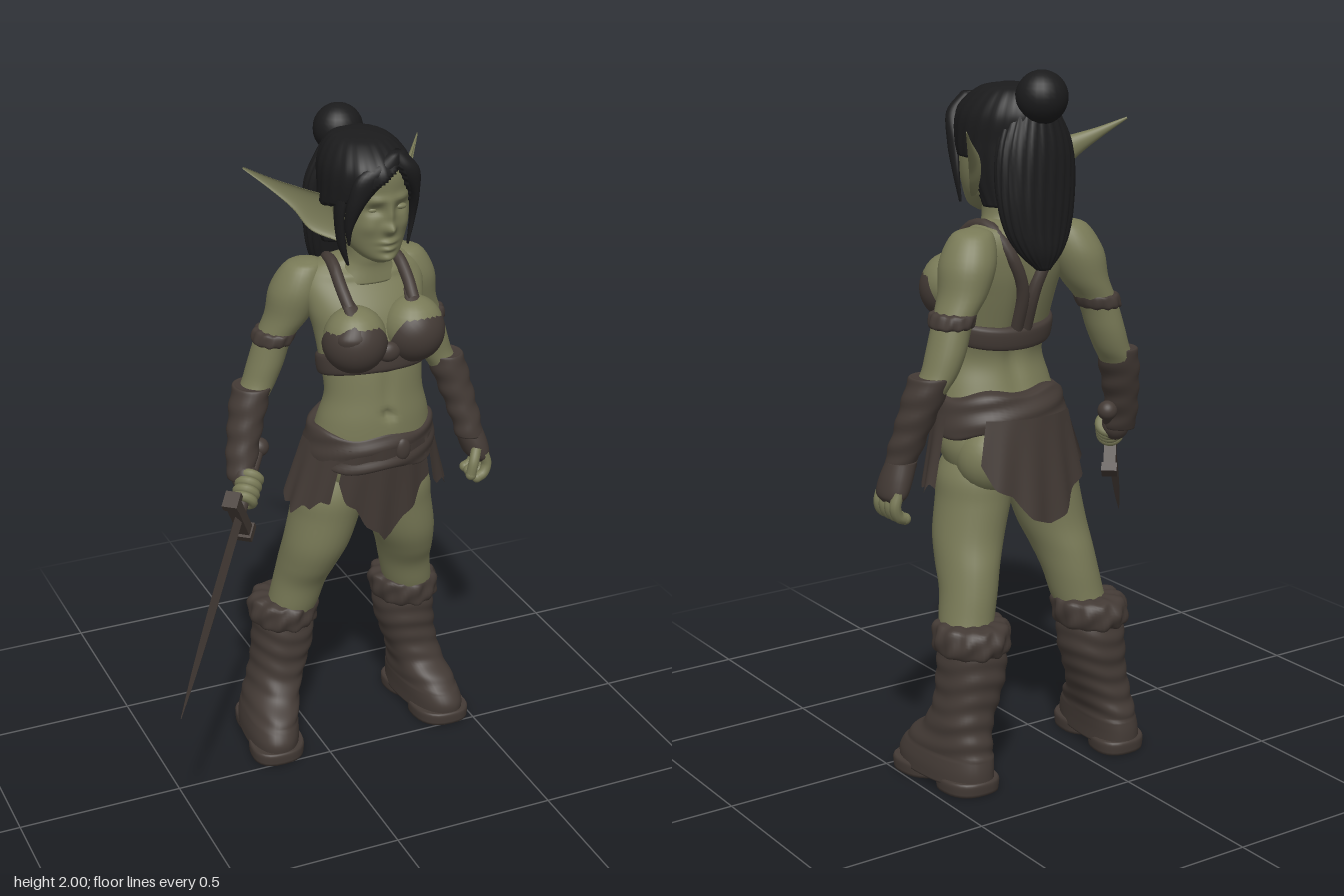
import * as THREE from 'three';

const V = (x, y, z) => new THREE.Vector3(x, y, z);
const material = (name, color, side = THREE.FrontSide) => {
  const m = new THREE.MeshStandardMaterial({ color, side });
  m.name = name;
  return m;
};
const gauss = (dx, dy, sx, sy) => Math.exp(-(dx * dx) / (sx * sx) - (dy * dy) / (sy * sy));
const mirror = (secs, sum) => secs.map(([x, ...rest]) => [sum - x, ...rest]);

// Smooth closed skin over horizontal ellipses [x, y, z, rx, rz], listed from top to bottom
function loft(secs, { seg = 28, rings = 28, n = 2, tweak, flat } = {}) {
  const mid = new THREE.CatmullRomCurve3(secs.map(s => V(s[0], s[1], s[2])), false, 'catmullrom');
  const rad = new THREE.CatmullRomCurve3(secs.map(s => V(s[3], s[4], 0)), false, 'catmullrom');
  const pos = [], idx = [];
  const pow = c => Math.sign(c) * Math.abs(c) ** (2 / n);
  for (let i = 0; i <= rings; i++) {
    const c = mid.getPoint(i / rings), r = rad.getPoint(i / rings);
    for (let j = 0; j < seg; j++) {
      const a = j / seg * Math.PI * 2;
      const v = V(c.x + r.x * pow(Math.cos(a)), c.y, c.z + r.y * pow(Math.sin(a)));
      if (tweak) tweak(v, a, c);
      pos.push(v.x, v.y, v.z);
      if (i < rings) {
        const p = i * seg + j, q = i * seg + (j + 1) % seg;
        idx.push(p, q, p + seg, q, q + seg, p + seg);
      }
    }
  }
  const last = rings * seg, top = (rings + 1) * seg;
  const a = secs[0], b = secs[secs.length - 1];
  pos.push(a[0], a[1], a[2], b[0], b[1], b[2]);
  for (let j = 0; j < seg; j++) {
    const k = (j + 1) % seg;
    idx.push(top, k, j, top + 1, last + j, last + k);
  }
  let g = new THREE.BufferGeometry();
  g.setAttribute('position', new THREE.Float32BufferAttribute(pos, 3));
  g.setIndex(idx);
  if (flat) g = g.toNonIndexed();
  g.computeVertexNormals();
  return g;
}

const tube = (pts, r) => new THREE.TubeGeometry(new THREE.CatmullRomCurve3(pts.map(p => V(...p))), 20, r, 10);

// Frame whose y axis runs along dir and whose x axis is as upright as possible
function frame(origin, dir) {
  const y = dir.clone().normalize();
  const x = V(0, 1, 0).addScaledVector(y, -y.y).normalize();
  return new THREE.Matrix4().makeBasis(x, y, x.clone().cross(y)).setPosition(origin);
}

// Cloth panel hung around the hips between two angles, with a ragged hem
function panel(a0, a1, hem) {
  const g = new THREE.PlaneGeometry(1, 1, 32, 12), p = g.attributes.position;
  for (let i = 0; i < p.count; i++) {
    const t = p.getX(i) + 0.5, a = a0 + (a1 - a0) * t;
    const y = THREE.MathUtils.lerp(1.05, hem(t), 0.5 - p.getY(i));
    const s = (1.05 - y) / 0.3, fold = 0.007 * s * Math.sin(a * 16);
    p.setXYZ(i, 0.165 + (0.2 + 0.085 * s + fold) * Math.cos(a), y, -0.11 - 0.03 * s + (0.178 - 0.008 * s + fold) * Math.sin(a));
  }
  g.computeVertexNormals();
  return g;
}

export function createModel() {
  const root = new THREE.Group();
  const skin = material('olive skin', 0x797a57);
  const leather = material('dark leather', 0x433a35, THREE.DoubleSide);
  const hair = material('black hair', 0x1b1b1c);
  const add = (name, geo, mat, parent = root) => {
    const m = new THREE.Mesh(geo, mat);
    m.name = name;
    parent.add(m);
    return m;
  };
  const ball = (name, mat, [x, y, z], [sx, sy, sz]) => {
    const m = add(name, new THREE.SphereGeometry(1, 24, 16), mat);
    m.position.set(x, y, z);
    m.scale.set(sx, sy, sz);
    return m;
  };

  // Head with modelled face
  const fx = 0.174;
  add('head', loft([[0.16, 1.93, -0.12, 0.04, 0.05], [0.16, 1.88, -0.1, 0.1, 0.115], [0.163, 1.8, -0.098, 0.11, 0.12],
    [0.165, 1.72, -0.095, 0.106, 0.11], [0.167, 1.66, -0.085, 0.088, 0.097], [0.17, 1.62, -0.06, 0.058, 0.068],
    [0.17, 1.6, -0.045, 0.025, 0.03]], { seg: 88, rings: 76, tweak: v => {
    if (v.z < -0.06) return;
    const d = v.x - fx, e = Math.abs(d);
    v.z += 0.016 * gauss(d, v.y - 1.75, 0.013, 0.04) + 0.026 * gauss(d, v.y - 1.71, 0.018, 0.016)
      - 0.014 * gauss(e - 0.042, v.y - 1.765, 0.026, 0.015) + 0.008 * gauss(e - 0.04, v.y - 1.797, 0.035, 0.012)
      + 0.008 * gauss(e - 0.06, v.y - 1.715, 0.025, 0.025) + 0.012 * gauss(d, v.y - 1.669, 0.026, 0.008)
      + 0.012 * gauss(d, v.y - 1.649, 0.022, 0.008) + 0.012 * gauss(d, v.y - 1.618, 0.025, 0.014);
  } }), skin);
  for (const s of [-1, 1]) ball('eye', skin, [fx + s * 0.042, 1.764, -0.007], [0.019, 0.009, 0.012]);
  add('neck', loft([[0.165, 1.68, -0.115, 0.06, 0.062], [0.165, 1.6, -0.12, 0.06, 0.062], [0.165, 1.565, -0.135, 0.08, 0.072],
    [0.165, 1.52, -0.14, 0.12, 0.08]]), skin);

  // Long pointed ears, hollow towards the front
  for (const [name, base, tip, s] of [['leftEar', V(0.258, 1.71, -0.1), V(0.42, 1.857, -0.325), -1],
    ['rightEar', V(0.066, 1.71, -0.1), V(-0.16, 1.85, -0.25), 1]]) {
    const dir = tip.clone().sub(base), L = dir.length();
    add(name, loft([[0, L, 0, 0.003, 0.003], [0, L * 0.7, 0, 0.016, 0.012], [0, L * 0.42, 0, 0.034, 0.023],
      [-0.008, L * 0.18, 0, 0.056, 0.032], [-0.012, -0.03, 0, 0.042, 0.03]],
    { tweak: v => { if (v.z * s > 0) v.z *= -0.45; } }).applyMatrix4(frame(base, dir)), skin);
  }

  // Hair: cap cut along a swept hairline, long tail, bun and face strands
  const hairline = x => (x < 0.2 ? 1.77 + (x - 0.04) * 0.72 : Math.max(1.76, 1.885 - (x - 0.2) * 2.2));
  const strands = amp => (v, a, c) => {
    const k = 1 + amp * Math.sin(a * 22 + v.y * 12);
    v.x = c.x + (v.x - c.x) * k;
    v.z = c.z + (v.z - c.z) * k;
  };
  add('hairCap', loft([[0.15, 1.957, -0.14, 0.025, 0.035], [0.15, 1.94, -0.135, 0.085, 0.105], [0.154, 1.88, -0.118, 0.126, 0.156],
    [0.156, 1.8, -0.115, 0.133, 0.148], [0.156, 1.72, -0.13, 0.127, 0.125], [0.155, 1.63, -0.17, 0.105, 0.075]],
  { seg: 88, rings: 60, tweak: (v, a, c) => {
    strands(0.012)(v, a, c);
    if (v.z > -0.155 && v.y < hairline(v.x)) { v.x = 0.163 + (v.x - 0.163) * 0.68; v.z = -0.12 + (v.z + 0.12) * 0.5; }
  } }), hair);
  add('hairTail', loft([[0.14, 1.92, -0.22, 0.06, 0.05], [0.142, 1.8, -0.235, 0.115, 0.062], [0.145, 1.68, -0.245, 0.122, 0.06],
    [0.145, 1.58, -0.255, 0.105, 0.052], [0.142, 1.51, -0.265, 0.07, 0.042], [0.14, 1.46, -0.275, 0.02, 0.018]],
  { seg: 88, tweak: strands(0.03) }), hair);
  ball('hairBun', hair, [0.138, 1.926, -0.264], [0.073, 0.073, 0.07]);
  const locks = [
    [[0.2, 1.925, -0.01, 0.02, 0.02], [0.135, 1.875, 0.012, 0.055, 0.024], [0.085, 1.8, 0, 0.03, 0.026], [0.066, 1.72, -0.02, 0.012, 0.018], [0.07, 1.66, -0.03, 0.003, 0.004]],
    [[0.08, 1.85, -0.05, 0.03, 0.04], [0.052, 1.76, -0.055, 0.014, 0.028], [0.06, 1.66, -0.06, 0.012, 0.018], [0.08, 1.59, -0.06, 0.004, 0.006]],
    [[0.205, 1.925, -0.01, 0.02, 0.02], [0.235, 1.87, 0, 0.034, 0.025], [0.266, 1.79, -0.025, 0.014, 0.024], [0.274, 1.71, -0.05, 0.008, 0.014], [0.264, 1.63, -0.055, 0.003, 0.005]]];
  locks.forEach(s => add('hairLock', loft(s), hair));

  // Torso with collarbones, midline and navel
  add('torso', loft([[0.165, 1.59, -0.15, 0.06, 0.045], [0.165, 1.567, -0.165, 0.15, 0.065], [0.165, 1.52, -0.155, 0.185, 0.092],
    [0.165, 1.45, -0.13, 0.18, 0.115], [0.165, 1.38, -0.11, 0.165, 0.12], [0.165, 1.29, -0.085, 0.156, 0.117],
    [0.165, 1.2, -0.065, 0.15, 0.108], [0.165, 1.12, -0.07, 0.17, 0.122], [0.165, 1.02, -0.09, 0.188, 0.142],
    [0.165, 0.94, -0.11, 0.19, 0.15], [0.165, 0.87, -0.12, 0.15, 0.11], [0.165, 0.83, -0.12, 0.05, 0.05]],
  { seg: 64, rings: 80, tweak: (v, a) => {
    const d = v.x - 0.165;
    if (Math.sin(a) > 0) v.z += -0.02 * gauss(d, v.y - 1.15, 0.014, 0.014) - 0.008 * gauss(d, v.y - 1.23, 0.02, 0.08)
      + 0.01 * gauss(Math.abs(d) - 0.07, v.y - 1.545, 0.06, 0.012);
    else v.z += 0.018 * gauss(d, v.y - 1.28, 0.03, 0.2);
  } }), skin);

  // Chest, halter top and hips, both sides
  for (const [s, x, z] of [[-1, 0.075, 0.002], [1, 0.263, -0.012]]) {
    ball('breast', skin, [x, 1.395, z], [0.091, 0.09, 0.088]);
    const cup = add('cup', new THREE.SphereGeometry(0.095, 32, 16, 0, Math.PI * 2, 0, 1.5).rotateX(Math.PI / 2), leather);
    cup.position.set(x, 1.383, z);
    cup.rotation.set(0.5, s * 0.4, 0, 'YXZ');
    const X = d => 0.16 + s * d;
    add('cupPoint', loft([[X(0.1), 1.5, z - 0.02, 0.016, 0.014], [X(0.097), 1.46, z + 0.03, 0.03, 0.026],
      [X(0.1), 1.42, z + 0.045, 0.058, 0.041], [X(0.1), 1.39, z + 0.04, 0.06, 0.045]]), leather);
    add('shoulderStrap', tube([[X(0.1), 1.48, 0], [X(0.104), 1.53, -0.055], [X(0.1), 1.573, -0.12], [X(0.09), 1.57, -0.19],
      [X(0.06), 1.5, -0.24], [X(0.02), 1.4, -0.235], [X(0.015), 1.28, -0.195]], 0.018), leather);
    ball('buttock', skin, [0.165 + s * 0.09, 0.925, -0.178], [0.094, 0.1, 0.094]);
  }
  ball('cupJoin', leather, [0.168, 1.345, 0.035], [0.035, 0.03, 0.022]);
  add('chestBand', loft([[0.165, 1.33, -0.09, 0.155, 0.115], [0.165, 1.318, -0.09, 0.166, 0.125], [0.165, 1.272, -0.084, 0.163, 0.124],
    [0.165, 1.26, -0.082, 0.15, 0.11]], { seg: 48, rings: 12, tweak: v => { v.y += (v.z + 0.05) * 0.25; } }), leather);

  // Belt, knot and ragged loincloth
  add('belt', loft([[0.165, 1.1, -0.085, 0.17, 0.125], [0.165, 1.09, -0.088, 0.19, 0.148], [0.165, 1.04, -0.095, 0.2, 0.16],
    [0.165, 0.995, -0.1, 0.206, 0.166], [0.165, 0.985, -0.1, 0.19, 0.15]],
  { seg: 64, tweak: (v, a) => { v.y += 0.008 * Math.sin(a * 5) - 0.012 * Math.sin(a); v.z += 0.004 * Math.sin(v.y * 110 + a * 3); } }), leather);
  ball('beltKnot', leather, [0.205, 1.04, 0.06], [0.024, 0.035, 0.014]);
  const rag = (t, k) => 0.022 * Math.abs((t * k) % 2 - 1);
  add('frontCloth', panel(2.25, 0.9, t => 0.72 + 0.4 * Math.abs(t - 0.5) + rag(t, 9)), leather);
  add('backCloth', panel(-0.8, -2.3, t => 0.72 + 0.32 * Math.abs(t - 0.58) + rag(t, 7)), leather);
  add('leftCloth', panel(0.8, -0.1, t => 0.82 + 0.08 * Math.abs(t - 0.6) + rag(t, 7)), leather);
  add('rightCloth', panel(3.25, 2.3, t => 0.82 + 0.08 * Math.abs(t - 0.4) + rag(t, 7)), leather);

  // Limbs: defined for the right side, then mirrored
  const arm = [[0.01, 1.578, -0.185, 0.02, 0.02], [0, 1.56, -0.19, 0.058, 0.058], [-0.022, 1.49, -0.2, 0.077, 0.083],
    [-0.045, 1.41, -0.21, 0.066, 0.075], [-0.084, 1.34, -0.22, 0.054, 0.062], [-0.11, 1.26, -0.225, 0.053, 0.06],
    [-0.133, 1.2, -0.225, 0.05, 0.055], [-0.164, 1.15, -0.215, 0.05, 0.054], [-0.195, 1.06, -0.19, 0.045, 0.045], [-0.215, 0.97, -0.165, 0.036, 0.036]];
  const band = [[-0.08, 1.365, -0.217, 0.05, 0.058], [-0.082, 1.357, -0.218, 0.061, 0.07], [-0.09, 1.33, -0.22, 0.06, 0.069], [-0.093, 1.32, -0.221, 0.048, 0.055]];
  const bracer = [[-0.156, 1.195, -0.218, 0.042, 0.05], [-0.158, 1.19, -0.218, 0.057, 0.062], [-0.178, 1.12, -0.205, 0.055, 0.06],
    [-0.199, 1.04, -0.185, 0.049, 0.053], [-0.215, 0.97, -0.165, 0.045, 0.049], [-0.218, 0.935, -0.155, 0.04, 0.044]];
  const leg = [[0.075, 0.97, -0.1, 0.08, 0.09], [0.048, 0.88, -0.11, 0.108, 0.12], [0.032, 0.8, -0.115, 0.104, 0.118],
    [0.008, 0.7, -0.125, 0.098, 0.113], [-0.012, 0.62, -0.15, 0.086, 0.106], [-0.026, 0.55, -0.175, 0.079, 0.092],
    [-0.043, 0.47, -0.19, 0.076, 0.085], [-0.06, 0.4, -0.21, 0.07, 0.08]];
  const boot = [[-0.066, 0.44, -0.22, 0.085, 0.095], [-0.068, 0.34, -0.222, 0.092, 0.102], [-0.084, 0.25, -0.22, 0.084, 0.098],
    [-0.105, 0.18, -0.21, 0.079, 0.11], [-0.125, 0.125, -0.185, 0.079, 0.145], [-0.135, 0.07, -0.17, 0.083, 0.172], [-0.137, 0.025, -0.17, 0.084, 0.174]];
  const cuff = [[-0.06, 0.475, -0.212, 0.075, 0.085], [-0.062, 0.465, -0.215, 0.1, 0.108], [-0.066, 0.43, -0.22, 0.106, 0.117],
    [-0.068, 0.395, -0.22, 0.1, 0.11], [-0.068, 0.385, -0.22, 0.08, 0.09]];
  const toeSole = [[-0.137, 0.04, -0.08, 0.082, 0.085], [-0.137, 0.03, -0.08, 0.086, 0.09], [-0.137, 0, -0.08, 0.084, 0.088]];
  const heelSole = [[-0.137, 0.04, -0.265, 0.074, 0.078], [-0.137, 0.03, -0.265, 0.079, 0.083], [-0.137, 0, -0.265, 0.077, 0.08]];
  for (const [side, sign] of [['right', -1], ['left', 1]]) {
    const onSide = (s, sum) => (sign < 0 ? s : mirror(s, sum));
    // Feet point slightly outwards; the left one stands a little closer in
    const turn = v => {
      v.x += (sign * (v.z + 0.2) * 0.1 - 0.009 * (1 + sign)) * THREE.MathUtils.clamp((0.2 - v.y) / 0.1, 0, 1);
    };
    const lumps = amp => (v, a, c) => {
      const k = 1 + amp * (Math.sin(a * 13) + Math.sin(a * 7 + v.y * 90));
      v.x = c.x + (v.x - c.x) * k;
      v.z = c.z + (v.z - c.z) * k;
      v.y += amp * 0.08 * Math.sin(a * 11);
    };
    add(side + 'Arm', loft(onSide(arm, 0.314), { rings: 40 }), skin);
    add(side + 'ArmBand', loft(onSide(band, 0.314), { seg: 56, rings: 14, tweak: lumps(0.02) }), leather);
    add(side + 'Bracer', loft(onSide(bracer, 0.314), { rings: 40, tweak: (v, a) => { v.x += 0.003 * Math.sin(v.y * 95 + a); } }), leather);
    add(side + 'Leg', loft(onSide(leg, 0.3), { rings: 40 }), skin);
    add(side + 'Boot', loft(onSide(boot, 0.28), { seg: 44, rings: 64, n: 2.3, tweak: (v, a, c) => {
      const k = v.y > 0.1 ? 1 + 0.024 * Math.sin(v.y * 105 + 1.6 * Math.sin(a * 2 + sign)) : 1;
      v.x = c.x + (v.x - c.x) * k;
      v.z = c.z + (v.z - c.z) * k;
      turn(v);
    } }), leather);
    add(side + 'FurCuff', loft(onSide(cuff, 0.28), { seg: 64, rings: 20, tweak: lumps(0.03) }), leather);
    for (const s of [toeSole, heelSole]) add(side + 'Sole', loft(onSide(s, 0.28), { n: 2.5, rings: 8, tweak: turn }), leather);
  }

  // Relaxed left hand in a half glove
  add('leftGlove', loft([[0.532, 0.96, -0.165, 0.042, 0.045], [0.548, 0.91, -0.16, 0.043, 0.056], [0.56, 0.87, -0.158, 0.038, 0.058], [0.565, 0.85, -0.158, 0.024, 0.045]]), leather);
  for (let i = 0; i < 4; i++) {
    const z = -0.2 + i * 0.028;
    add('leftFinger', tube([[0.565, 0.88, z], [0.576, 0.84, z], [0.564, 0.812, z + 0.004], [0.542, 0.802, z + 0.006]], 0.0165), skin);
    ball('leftFingertip', skin, [0.542, 0.802, z + 0.006], [0.0165, 0.0165, 0.0165]);
  }
  add('leftThumb', tube([[0.54, 0.9, -0.115], [0.524, 0.86, -0.1], [0.516, 0.82, -0.1]], 0.0165), skin);
  ball('leftThumbTip', skin, [0.516, 0.82, -0.1], [0.0165, 0.0165, 0.0165]);

  // Sword, built along its own y axis, with the right fist on the grip
  const sword = new THREE.Group();
  sword.name = 'sword';
  root.add(sword);
  frame(V(-0.27, 0.865, -0.045), V(-0.335, -0.377, 0.395)).decompose(sword.position, sword.quaternion, sword.scale);
  add('blade', loft([[0, 0.64, 0, 0.001, 0.001], [0, 0.5, 0, 0.023, 0.008], [0, 0.3, 0, 0.037, 0.012], [0, 0.12, 0, 0.035, 0.013], [0, 0, 0, 0.033, 0.013]],
    { seg: 4, rings: 20, flat: true }), leather, sword);
  add('guard', new THREE.BoxGeometry(0.19, 0.034, 0.036), leather, sword);
  for (const s of [-1, 1]) add('guardEnd', new THREE.BoxGeometry(0.026, 0.052, 0.046), leather, sword).position.x = s * 0.096;
  add('grip', new THREE.CylinderGeometry(0.017, 0.017, 0.23, 16), leather, sword).position.y = -0.115;
  add('pommel', new THREE.SphereGeometry(0.029, 20, 14), leather, sword).position.y = -0.235;
  for (let i = 0; i < 4; i++) add('rightFinger', new THREE.TorusGeometry(0.027, 0.015, 10, 24).rotateX(Math.PI / 2), skin, sword).position.y = -0.055 - i * 0.025;
  ball('rightPalm', leather, [-0.214, 0.94, -0.14], [0.04, 0.045, 0.042]);

  return root;
}
